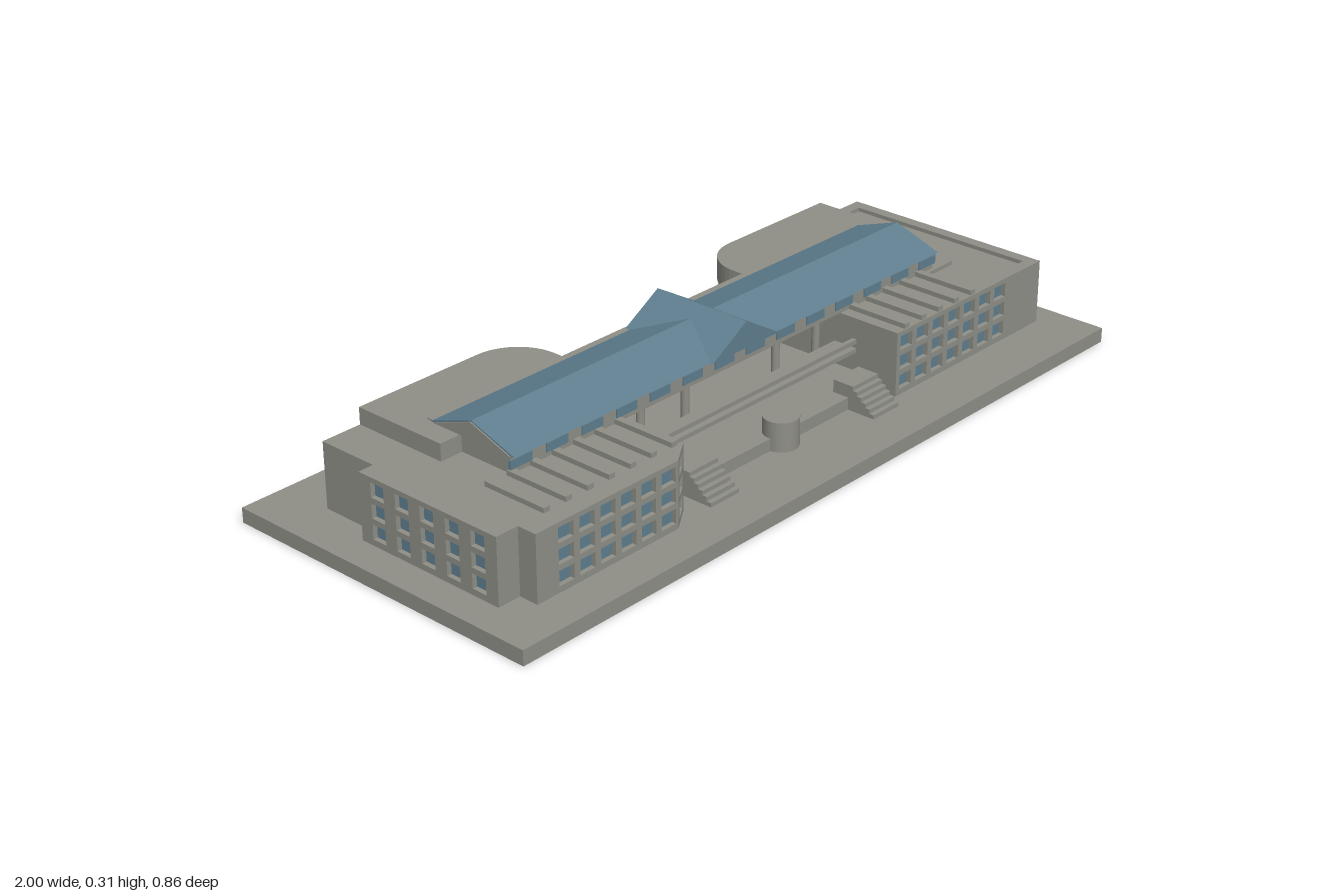
import * as THREE from 'three';

export function createModel() {
  const model = new THREE.Group();
  const stone = new THREE.MeshStandardMaterial({ color: 0x8f8f87 });
  stone.name = 'stone';
  const blue = new THREE.MeshStandardMaterial({ color: 0x5f7e8f });
  blue.name = 'blueGlass';

  const add = (name, geo, mat = stone, parent = model) => {
    const mesh = new THREE.Mesh(geo, mat);
    mesh.name = name;
    parent.add(mesh);
    return mesh;
  };
  // Box given by its limits on each axis
  const box = (name, x0, x1, y0, y1, z0, z1, mat) =>
    add(name, new THREE.BoxGeometry(x1 - x0, y1 - y0, z1 - z0)
      .translate((x0 + x1) / 2, (y0 + y1) / 2, (z0 + z1) / 2), mat);
  const toShape = pts => new THREE.Shape(pts.map(p => new THREE.Vector2(...p)));
  // Plan outline (x, z) raised between two heights
  const slab = (name, pts, y0, y1, mat, hole) => {
    const shape = toShape(pts);
    if (hole) shape.holes.push(toShape(hole));
    const geo = new THREE.ExtrudeGeometry(shape, { depth: y1 - y0, bevelEnabled: false });
    return add(name, geo.rotateX(Math.PI / 2).translate(0, y1, 0), mat);
  };
  // Wall panel with punched openings; its back sits at (x, z), facing rotY
  const facade = (name, x, z, rotY, w, y0, y1, us, vs, ww, wh, glazed = true) => {
    const wall = new THREE.Group();
    wall.name = name;
    wall.position.set(x, 0, z);
    wall.rotation.y = rotY;
    const shape = toShape([[-w / 2, y0], [w / 2, y0], [w / 2, y1], [-w / 2, y1]]);
    for (const u of us) for (const v of vs) {
      const a = u - ww / 2, b = u + ww / 2, c = v - wh / 2, d = v + wh / 2;
      shape.holes.push(toShape([[a, c], [a, d], [b, d], [b, c]]));
      if (glazed) add('windowPane', new THREE.PlaneGeometry(ww, wh).translate(u, v, 0.003), blue, wall);
    }
    add('windowWall', new THREE.ExtrudeGeometry(shape, { depth: 0.015, bevelEnabled: false }), stone, wall);
    model.add(wall);
  };
  const series = (n, start, step) => Array.from({ length: n }, (_, i) => start + i * step);

  const ground = 0.037, top = 0.2, rows = [0.07, 0.12, 0.17];
  box('basePlinth', -1, 1, 0, ground, -0.43, 0.43);

  // Right-hand wing with a sunken roof terrace
  const eastPlan = [[0.36, 0.27], [0.8, 0.27], [0.8, 0.285], [0.91, 0.285], [0.91, -0.29],
    [0.42, -0.29], [0.42, -0.13], [0.36, -0.13]];
  slab('eastWing', eastPlan, ground, 0.19);
  slab('eastParapet', eastPlan, 0.19, top, stone,
    [[0.78, -0.26], [0.895, -0.26], [0.895, 0.255], [0.67, 0.255], [0.67, 0.125], [0.78, 0.125]]);
  facade('eastFront', 0.58, 0.27, 0, 0.44, ground, top, series(7, -0.185, 0.061), rows, 0.044, 0.036);
  facade('eastSide', 0.91, -0.0025, Math.PI / 2, 0.575, ground, top,
    series(4, -0.2, 0.133), [0.0975], 0.05, 0.055, false);

  // Left-hand wing with a chamfered front corner
  slab('westWing', [[-0.905, -0.13], [-0.905, 0.28], [-0.86, 0.28], [-0.86, 0.315], [-0.445, 0.315],
    [-0.384, 0.273], [-0.37, 0.264], [-0.37, -0.13], [-0.77, -0.13], [-0.77, -0.29],
    [-0.88, -0.29], [-0.88, -0.13]], ground, top);
  facade('westFront', -0.65, 0.315, 0, 0.42, ground, top, series(6, -0.125, 0.061), rows, 0.044, 0.036);
  facade('westCorner', -0.4145, 0.294, 0.605, 0.08, ground, top, [0], rows, 0.044, 0.036);
  facade('westSide', -0.905, 0.075, -Math.PI / 2, 0.41, ground, top, series(5, -0.15, 0.075), rows, 0.04, 0.036);

  // Rear halls with rounded inner corners, banded glazing and a top storey
  const rounded = (side, xOuter, inset, zFront) => {
    const pts = [[xOuter, zFront], [0.305 + inset, zFront]];
    for (let i = 0; i <= 12; i++) {
      const a = (i / 12) * Math.PI / 2, r = 1 - inset / 0.12;
      pts.push([0.425 - 0.12 * r * Math.cos(a), -0.17 - 0.12 * r * Math.sin(a)]);
    }
    pts.push([xOuter, -0.29 + inset]);
    return pts.map(([x, z]) => [side * x, z]);
  };
  for (const side of [1, -1]) {
    const end = side > 0 ? 0.43 : 0.775;
    slab('ribbonGlazing', rounded(side, end, 0.018, -0.125), ground, top, blue);
    for (const [y0, y1] of [[ground, 0.058], [0.084, 0.108], [0.134, 0.158], [0.184, top]])
      slab('balconyBand', rounded(side, end, 0, -0.125), y0, y1);
    slab('upperStorey', rounded(side, 0.775, 0, -0.035), top, 0.242);
    for (const x of series(4, 0.5, 0.072))
      box('upperRearWindow', side * x - 0.022, side * x + 0.022, 0.21, 0.232, -0.294, -0.286, blue);
  }

  // Long clerestory under the main roof
  box('clerestory', -0.715, 0.715, top, 0.245, -0.14, 0.115);
  for (const x of series(14, -0.689, 0.106))
    box('clerestoryWindow', x - 0.032, x + 0.032, 0.212, 0.234, 0.112, 0.118, blue);
  box('rearCanopy', -0.31, 0.31, top, 0.222, -0.165, -0.13);

  // Roof beams over the front terraces
  for (const x of [...series(7, -0.78, 0.0635), ...series(5, 0.4, 0.0635)])
    box('roofBeam', x - 0.009, x + 0.009, top, 0.212, 0.11, 0.282);

  // Main gable roof crossed by a short central gable
  const prism = (half, y0, y1, len) => new THREE.ExtrudeGeometry(
    toShape([[-half, y0], [half, y0], [0, y1]]), { depth: len, bevelEnabled: false }).translate(0, 0, -len / 2);
  add('mainRoof', prism(0.128, 0.243, 0.287, 1.436).rotateY(Math.PI / 2), blue);
  add('gableEnds', prism(0.116, 0.243, 0.284, 1.442).rotateY(Math.PI / 2));
  add('crossGable', prism(0.112, 0.243, 0.309, 0.27), blue);

  // Open central hall: floor, columns and balcony
  box('hallFloor', -0.36, 0.36, ground, 0.065, -0.15, 0.21);
  box('rearLanding', -0.19, 0.19, ground, 0.065, -0.29, -0.15);
  for (const x of [-0.3, -0.155, 0.155, 0.3]) for (const z of [0.09, -0.145])
    add('column', new THREE.CylinderGeometry(0.01, 0.01, 0.14, 12).translate(x, 0.132, z));
  box('balconyFloor', -0.37, 0.37, 0.113, 0.124, 0.1, 0.165);
  box('balconyRail', -0.37, 0.37, 0.136, 0.147, 0.153, 0.165);
  box('rearBridge', -0.31, 0.31, 0.113, 0.124, -0.15, -0.12);

  // Front terrace with a round bay and side stairs
  box('frontTerrace', -0.31, 0.31, ground, 0.068, 0.2, 0.245);
  add('roundBay', new THREE.CylinderGeometry(0.043, 0.043, 0.073, 24).translate(0, 0.0735, 0.24));
  for (const side of [-1, 1]) for (let i = 0; i < 6; i++)
    box('frontStep', side * 0.28 - 0.046, side * 0.28 + 0.046, ground, 0.1 - i * 0.0105, 0.2, 0.258 + i * 0.0125);
  for (let i = 0; i < 5; i++)
    box('rearStep', -0.19, 0.19, ground, 0.065 - i * 0.0055, -0.3 - i * 0.0155, -0.28);

  return model;
}
